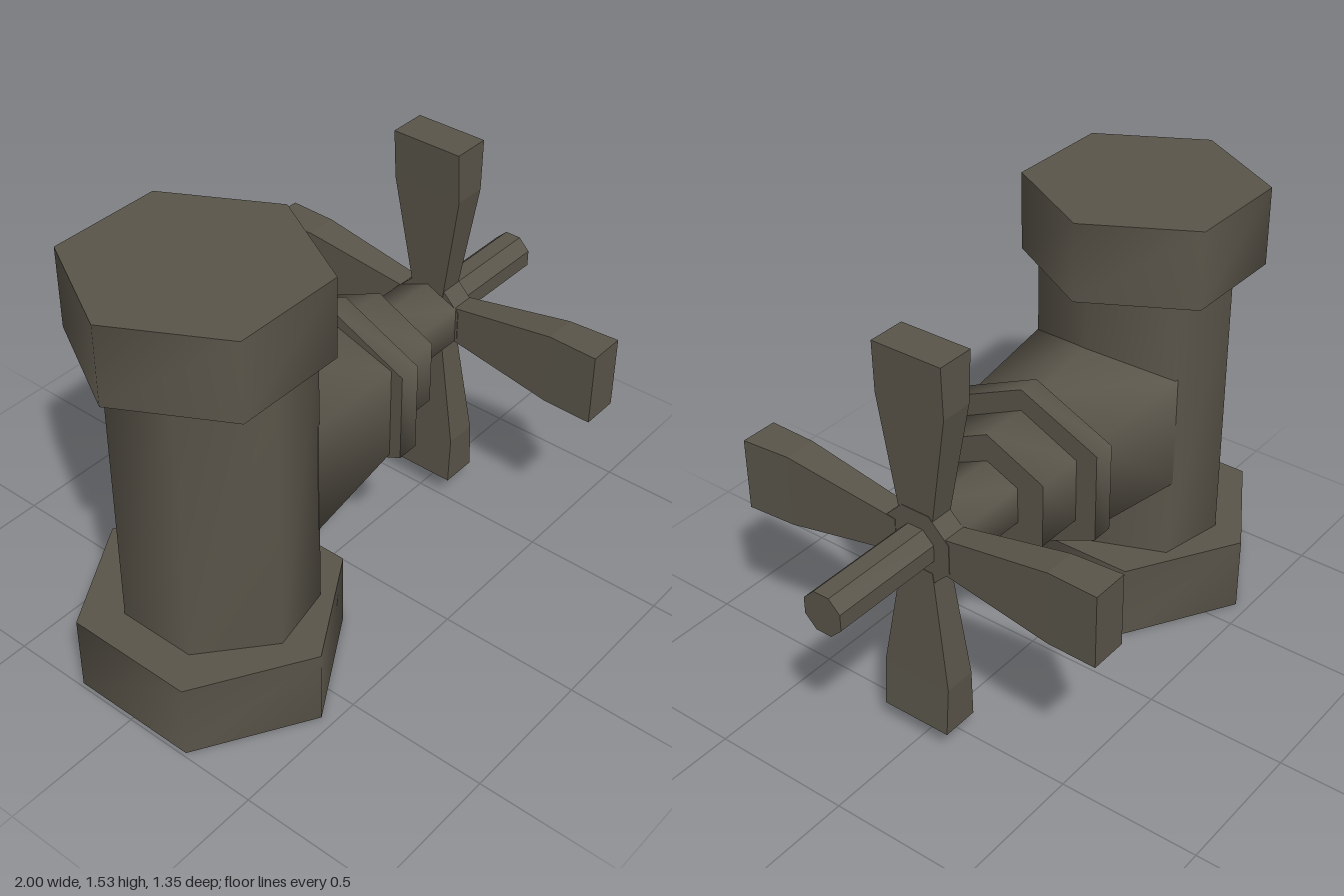
import * as THREE from 'three';

const AXIS_Y = 0.768; // height of the valve stem

// Polygon with n corners, stretched to half sizes rx and ry
function ring(n, rx, ry = rx, start = 0, cx = 0) {
  return Array.from({ length: n }, (_, i) => {
    const a = start + (i / n) * Math.PI * 2;
    return [cx + rx * Math.cos(a), ry * Math.sin(a)];
  });
}

// Mirrors a half outline (listed counter-clockwise from +x) across the x axis
function mirrored(half) {
  return [...half, ...half.filter(p => p[1] !== 0).reverse().map(([x, y]) => [x, -y])];
}

// Six-sided outline with a ridge at top and bottom
function hexOutline(halfWidth, ridge, shoulder) {
  return [
    [halfWidth, -shoulder], [halfWidth, shoulder], [0, ridge],
    [-halfWidth, shoulder], [-halfWidth, -shoulder], [0, -ridge],
  ];
}

// Joins [height, outline] sections along local z; sides are smooth, ends are flat
function loft(sections, flat = false) {
  const pos = [], index = [];
  const n = sections[0][1].length;
  const add = ([h, pts]) => pts.forEach(([u, v]) => pos.push(u, v, h));
  sections.forEach(add);
  for (let s = 0; s < sections.length - 1; s++) {
    for (let i = 0; i < n; i++) {
      const a = s * n + i, b = s * n + (i + 1) % n;
      index.push(a, b, b + n, a, b + n, a + n);
    }
  }
  const first = pos.length / 3;
  add(sections[0]);
  add(sections[sections.length - 1]);
  for (let i = 1; i < n - 1; i++) {
    index.push(first, first + i + 1, first + i);
    index.push(first + n, first + n + i, first + n + i + 1);
  }
  let g = new THREE.BufferGeometry();
  g.setAttribute('position', new THREE.Float32BufferAttribute(pos, 3));
  g.setIndex(index);
  if (flat) g = g.toNonIndexed();
  g.computeVertexNormals();
  return g;
}

export function createModel() {
  const model = new THREE.Group();
  model.name = 'pipeValve';
  const metal = new THREE.MeshStandardMaterial({ color: 0x5a554a });
  metal.name = 'dark metal';

  const addMesh = (name, geometry, parent = model) => {
    const mesh = new THREE.Mesh(geometry, metal);
    mesh.name = name;
    parent.add(mesh);
    return mesh;
  };
  const upright = (name, sections) => addMesh(name, loft(sections).rotateX(-Math.PI / 2));
  const sideways = (name, sections, flat) =>
    addMesh(name, loft(sections, flat).rotateY(Math.PI / 2).translate(0, AXIS_Y, 0));

  // Vertical pipe with a hexagonal fitting at each end
  const pipe = mirrored([[-0.285, 0], [-0.4, 0.28], [-0.64, 0.329], [-0.862, 0.14]]);
  upright('pipe', [[0.26, pipe], [1.27, pipe]]);
  const base = ring(6, 0.441, 0.457, Math.PI / 6, -0.606);
  upright('bottomFitting', [[0, base], [0.275, base]]);
  const cap = ring(6, 0.395, 0.41, 0, -0.605);
  upright('topFitting', [[1.257, cap], [1.533, cap]]);

  // Side branch narrowing towards the stem
  sideways('branch', [
    [-0.41, hexOutline(0.284, 0.3, 0.205)],
    [0, hexOutline(0.25, 0.245, 0.165)],
  ]);
  const collar = hexOutline(0.295, 0.295, 0.16);
  sideways('collar', [[-0.02, collar], [0.06, collar]]);
  const nut = hexOutline(0.218, 0.218, 0.115);
  sideways('packingNut', [[0.05, nut], [0.235, nut]]);
  const shank = hexOutline(0.12, 0.12, 0.065);
  sideways('shank', [[0.22, shank], [0.51, shank]]);
  const rod = ring(8, 0.076, 0.076, Math.PI / 8);
  sideways('stemRod', [[0.5, rod], [1, rod]], true);

  // Four-armed handle, leaning slightly
  const handle = new THREE.Group();
  handle.name = 'handle';
  handle.position.set(0.541, AXIS_Y, 0);
  model.add(handle);
  const hub = ring(8, 0.139, 0.139, Math.PI / 8);
  addMesh('handleHub', loft([[-0.043, hub], [0.043, hub]], true).rotateY(Math.PI / 2), handle);

  const lean = [-1, 1, 1, -1];
  lean.forEach((side, k) => {
    const section = (r, thick, wide) => {
      const o = side * r * 0.021;
      return [r, [[o + thick, -wide], [o + thick, wide], [o - thick, wide], [o - thick, -wide]]];
    };
    const arm = loft([
      section(0.08, 0.043, 0.062),
      section(0.12, 0.043, 0.068),
      section(0.5, 0.058, 0.13),
      section(0.677, 0.067, 0.129),
    ], true);
    addMesh('handleArm' + (k + 1), arm.rotateX(-Math.PI / 2).rotateX(k * Math.PI / 2), handle);
  });

  return model;
}
